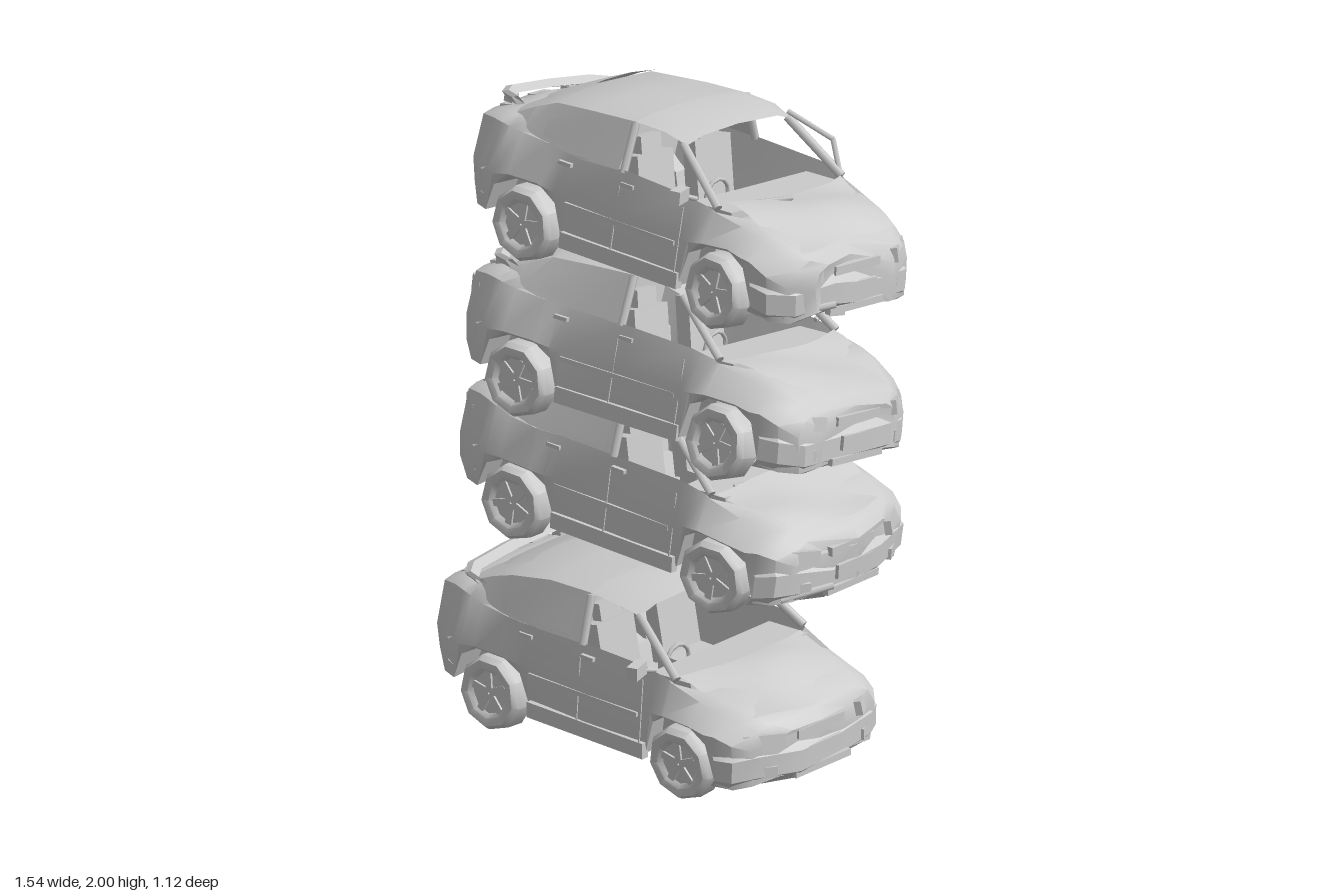
import * as THREE from 'three';
import { toCreasedNormals } from 'three/addons/utils/BufferGeometryUtils.js';

const metal = new THREE.MeshStandardMaterial({ color: 0xcccccc, side: THREE.DoubleSide });
const V = (x, y, z) => new THREE.Vector3(x, y, z);

function add(parent, name, geometry, x = 0, y = 0, z = 0, rx = 0, ry = 0, rz = 0) {
  const mesh = new THREE.Mesh(geometry, metal);
  mesh.name = name;
  mesh.position.set(x, y, z);
  mesh.rotation.set(rx, ry, rz);
  parent.add(mesh);
  return mesh;
}
const box = (w, h, d) => new THREE.BoxGeometry(w, h, d);

// Thin rod between two points
function bar(parent, name, a, b, r) {
  const dir = b.clone().sub(a);
  const mesh = add(parent, name, new THREE.CylinderGeometry(r, r, dir.length(), 6));
  mesh.position.copy(a).add(b).multiplyScalar(0.5);
  mesh.quaternion.setFromUnitVectors(V(0, 1, 0), dir.normalize());
}

// Skin through rows of points, bent by a dent rule
function skin(rows, dent = p => p, crease = 0.6) {
  const pos = [], idx = [], n = rows[0].length;
  rows.flat().forEach(p => pos.push(...dent(p)));
  for (let i = 0; i < rows.length - 1; i++) for (let j = 0; j < n - 1; j++) {
    const a = i * n + j, b = a + n;
    idx.push(a, b, b + 1, a, b + 1, a + 1);
  }
  const g = new THREE.BufferGeometry();
  g.setAttribute('position', new THREE.Float32BufferAttribute(pos, 3));
  g.setIndex(idx);
  return toCreasedNormals(g, crease);
}
// Half section from the +z side to the centre line, completed by mirroring
const mirrored = half => half.concat(half.slice(0, -1).reverse().map(([x, y, z]) => [x, y, -z]));

// x, half width, floor, arch edge, shoulder height, shoulder half width, deck height
const STATIONS = [
  [-0.672, 0.20, 0.21, 0.21, 0.35, 0.18, 0.365], [-0.65, 0.26, 0.17, 0.17, 0.38, 0.23, 0.39],
  [-0.58, 0.315, 0.13, 0.13, 0.395, 0.265, 0.415], [-0.535, 0.325, 0.12, 0.125, 0.395, 0.28, 0.42],
  [-0.50, 0.335, 0.11, 0.215, 0.39, 0.285, 0.42], [-0.44, 0.337, 0.10, 0.25, 0.385, 0.295, 0.42],
  [-0.33, 0.337, 0.09, 0.25, 0.38, 0.30, 0.40], [-0.32, 0.337, 0.09, 0.248, 0.38, 0.30, 0.18],
  [-0.27, 0.33, 0.09, 0.215, 0.378, 0.30, 0.16], [-0.235, 0.32, 0.09, 0.10, 0.378, 0.30, 0.16],
  [0, 0.322, 0.09, 0.095, 0.383, 0.30, 0.16], [0.235, 0.322, 0.09, 0.10, 0.376, 0.295, 0.16],
  [0.27, 0.33, 0.09, 0.215, 0.37, 0.295, 0.16], [0.32, 0.337, 0.09, 0.248, 0.36, 0.29, 0.18],
  [0.33, 0.337, 0.09, 0.25, 0.352, 0.29, 0.32], [0.44, 0.337, 0.09, 0.25, 0.325, 0.28, 0.343],
  [0.50, 0.335, 0.09, 0.215, 0.31, 0.275, 0.33], [0.535, 0.328, 0.08, 0.09, 0.30, 0.268, 0.318],
  [0.59, 0.305, 0.08, 0.08, 0.275, 0.255, 0.295], [0.635, 0.262, 0.085, 0.085, 0.25, 0.23, 0.268],
  [0.658, 0.18, 0.10, 0.10, 0.225, 0.17, 0.24],
];

function bodyRows() {
  const rows = STATIONS.map(([x, w, floor, arch, shY, shW, deck]) => {
    const inner = Math.min(0.22, w - 0.02);
    const mid = Math.max(arch + 0.01, Math.min(0.25, shY - 0.05));
    return mirrored([[x, floor, 0], [x, floor, inner], [x, arch, inner], [x, arch, w - 0.012],
      [x, mid, w], [x, shY, shW], [x, deck, shW - 0.04], [x, deck + 0.008, 0]]);
  });
  const cap = r => r.map(([x]) => [x, 0.23, 0]);
  return [cap(rows[0]), ...rows, cap(rows[rows.length - 1])];
}

// x, belt half width, belt height, rail half width, rail height, crown height
const CABIN = [
  [-0.57, 0.235, 0.395, 0.20, 0.405, 0.415], [-0.45, 0.285, 0.385, 0.235, 0.455, 0.478],
  [-0.36, 0.298, 0.38, 0.243, 0.492, 0.517], [-0.20, 0.30, 0.376, 0.25, 0.517, 0.54],
  [-0.04, 0.302, 0.38, 0.25, 0.524, 0.547],
];
const ROOF = [[-0.04, 0.25, 0.524, 0.547], [0.07, 0.247, 0.52, 0.545], [0.15, 0.235, 0.50, 0.525]];

function wheel(parent, name, x, side, seed) {
  const g = new THREE.Group();
  g.name = name;
  const profile = [[0.066, 0.034], [0.08, 0.048], [0.105, 0.05], [0.118, 0.03], [0.118, -0.03],
    [0.105, -0.05], [0.05, -0.05]].map(p => new THREE.Vector2(...p));
  add(g, 'tyre', toCreasedNormals(new THREE.LatheGeometry(profile, 9), 0.75), 0, 0, 0, Math.PI / 2);
  add(g, 'rim', new THREE.CylinderGeometry(0.078, 0.07, 0.066, 9), 0, 0, 0, Math.PI / 2);
  for (let i = 0; i < 5; i++) {
    const a = i * Math.PI * 0.4 + seed;
    add(g, 'spoke', box(0.066, 0.024, 0.02), 0.036 * Math.cos(a), 0.036 * Math.sin(a), 0.03, 0, 0, a);
  }
  g.position.set(x, 0.12, side * 0.29);
  g.rotation.set(0.06 * Math.sin(seed * 3 + x), (side < 0 ? Math.PI : 0) + (x > 0 ? 0.1 * Math.sin(seed) : 0), 0);
  parent.add(g);
}

function car({ name, seed, mirrorSide, crumple, bentWing, openDoor, pos, rot }) {
  const car = new THREE.Group();
  car.name = name;
  // Dents grow toward the nose
  const dent = ([x, y, z]) => {
    const k = 0.005 + (x > 0.3 ? crumple * (x - 0.3) * 0.7 : 0);
    return [x + k * Math.sin(17 * z + seed), y + k * Math.sin(15 * x + seed * 2) * Math.cos(13 * z + seed),
      z + k * Math.sin(11 * x + 9 * y + seed)];
  };
  add(car, 'body', skin(bodyRows(), dent));
  add(car, 'rear cabin', skin(CABIN.map(([x, bw, by, rw, ry, top]) =>
    mirrored([[x, by, bw], [x, ry, rw], [x, top - 0.004, rw * 0.72], [x, top, 0]])), dent));
  add(car, 'roof', skin(ROOF.map(([x, rw, ry, top]) =>
    mirrored([[x, ry, rw], [x, top - 0.004, rw * 0.72], [x, top, 0]])), dent));
  add(car, 'rear screen', skin([[-0.525, 0.15, 0.442], [-0.45, 0.19, 0.482], [-0.375, 0.18, 0.514]].map(([x, w, y]) =>
    [[x + 0.03, y + 0.008, w], [x, y + 0.003, w * 0.6], [x - 0.01, y + 0.001, 0],
      [x, y + 0.003, -w * 0.6], [x + 0.03, y + 0.008, -w]]), dent));

  for (const s of [1, -1]) {
    // Window frames, quarter window and door furniture
    bar(car, 'windscreen pillar', V(0.14, 0.502, s * 0.235), V(0.335, 0.362, s * 0.28), 0.014);
    bar(car, 'door pillar', V(-0.04, 0.52, s * 0.25), V(-0.03, 0.375, s * 0.298), 0.013);
    add(car, 'quarter window', skin([[-0.36, 0.395, 0.297, 0.445, 0.275], [-0.22, 0.39, 0.30, 0.495, 0.262],
      [-0.07, 0.395, 0.30, 0.505, 0.26]].map(([x, y0, z0, y1, z1]) => [[x, y0, s * z0], [x, y1, s * z1]]), dent));
    for (const x of [-0.25, 0.0]) add(car, 'door handle', box(0.05, 0.012, 0.014), x, 0.345, s * 0.309);
    for (const x of [-0.03, 0.225]) add(car, 'door seam', box(0.004, 0.2, 0.004), x, 0.24, s * 0.32, -s * 0.08);
    add(car, 'side skirt', box(0.47, 0.05, 0.026), 0, 0.112, s * 0.312);
    add(car, 'rubbing strip', box(0.44, 0.014, 0.01), -0.01, 0.225, s * 0.32);
    // Lamps, turned to follow the corners
    add(car, 'headlamp', box(0.022, 0.045, 0.13), 0.63, 0.225, s * 0.215, 0, -s * 0.6, 0.2);
    add(car, 'fog lamp', box(0.02, 0.035, 0.07), 0.638, 0.13, s * 0.215, 0, -s * 0.5);
    add(car, 'tail lamp', box(0.022, 0.055, 0.11), -0.637, 0.325, s * 0.218, 0, s * 0.85);
    add(car, 'boot light', box(0.05, 0.012, 0.075), -0.615, 0.403, s * 0.14, 0, s * 0.2, 0.2);
    // Wheels and front seats
    wheel(car, 'front wheel', 0.385, s, seed);
    wheel(car, 'rear wheel', -0.385, s, seed + 1.3);
    add(car, 'seat cushion', box(0.15, 0.06, 0.16), 0.03, 0.2, s * 0.13);
    add(car, 'seat back', box(0.05, 0.2, 0.16), -0.06, 0.3, s * 0.13, 0, 0, 0.2);
    add(car, 'headrest', box(0.035, 0.06, 0.09), -0.09, 0.42, s * 0.13, 0, 0, 0.2);
  }
  add(car, 'boot light', box(0.05, 0.012, 0.075), -0.625, 0.403, 0, 0, 0, 0.2);
  add(car, 'dashboard', box(0.16, 0.09, 0.52), 0.295, 0.305, 0, 0, 0, 0.05);
  add(car, 'steering wheel', new THREE.TorusGeometry(0.05, 0.007, 5, 12), 0.2, 0.34, 0.13, 0, Math.PI / 2, 0);

  // Bumpers, grille and plates
  const bumper = (sx, y, h, spread) => add(car, sx > 0 ? 'front bumper' : 'rear bumper', skin(
    [[0.54, 0.328], [0.60, 0.29 + spread], [0.647, 0.22 + spread], [0.672, 0.1], [0.672, -0.1],
      [0.647, -0.22 - spread], [0.60, -0.29 - spread], [0.54, -0.328]]
      .map(([x, z]) => [[sx * (x - 0.03), y - h, z * 0.95], [sx * x, y - h * 0.5, z], [sx * x, y + h * 0.6, z],
        [sx * (x - 0.025), y + h, z * 0.95]]), dent, 0.5));
  bumper(1, 0.14, 0.06, 0.02);
  bumper(-1, 0.215, 0.06, 0).position.x = -0.008;
  add(car, 'grille', box(0.02, 0.028, 0.2), 0.656, 0.222, 0);
  add(car, 'number plate', box(0.012, 0.045, 0.16), 0.672, 0.155, 0);
  add(car, 'lower intake', box(0.02, 0.022, 0.24), 0.664, 0.1, 0);
  add(car, 'rear plate', box(0.012, 0.045, 0.15), -0.678, 0.25, 0);

  // Buckled bonnet sheet, its rear edge curving forward at the centre
  const hood = [];
  for (let i = 0; i <= 6; i++) {
    const t = i / 6, row = [];
    for (let j = 0; j <= 8; j++) {
      const u = 1 - j / 4, x = 0.34 + t * 0.26 + (0.05 - 0.02 * t) * (1 - u * u);
      row.push([x, 0.367 - 0.04 * t - 0.04 * t * t - 0.012 * u * u
        + crumple * 0.6 * (Math.sin(t * 5 + u * 2 + seed) * 0.5 + 0.5), (0.26 - 0.04 * t) * u]);
    }
    hood.push(row);
  }
  add(car, 'bonnet', skin(hood, dent, 0.4));
  // Loose strips of torn trim around the screen
  if (crumple > 0.04) {
    bar(car, 'bent strip', V(0.14, 0.52, -0.235), V(0.28, 0.46, -0.29), 0.009);
    bar(car, 'bent strip', V(0.28, 0.46, -0.29), V(0.33, 0.36, -0.28), 0.009);
    bar(car, 'wiper', V(0.34, 0.36, 0.18), V(0.42, 0.375, 0.04), 0.007);
    bar(car, 'torn bumper trim', V(0.61, 0.1, 0.27), V(0.69, 0.13, 0.12), 0.012);
  }

  // Rear wing with swept ends, sitting low on the boot lid
  const wing = new THREE.Group();
  wing.name = 'rear wing';
  add(wing, 'wing blade', skin([[0.25, 0.11], [0.23, 0.05], [0.17, 0.01], [0, 0], [-0.17, 0.01], [-0.23, 0.05], [-0.25, 0.11]]
    .map(([z, dx]) => [[dx - 0.025, 0.005, z], [dx, 0.016, z], [dx + 0.03, 0, z], [dx, -0.012, z], [dx - 0.025, 0.005, z]])));
  for (const s of [1, -1]) add(wing, 'wing foot', box(0.035, 0.03, 0.025), 0.03, -0.015, s * 0.19);
  wing.position.set(-0.605, 0.425 + Math.abs(bentWing) * 0.2, 0);
  wing.rotation.set(bentWing, bentWing * 0.5, 0);
  car.add(wing);

  // Door mirror
  bar(car, 'mirror stalk', V(0.25, 0.37, mirrorSide * 0.285), V(0.25, 0.39, mirrorSide * 0.345), 0.008);
  add(car, 'door mirror', box(0.035, 0.042, 0.07), 0.25, 0.395, mirrorSide * 0.365, 0, mirrorSide * 0.3);

  // Torn rear door skin, hanging open
  if (openDoor) {
    add(car, 'torn door', skin([[0.0, 0.02], [-0.1, 0.08], [-0.2, 0.125]].map(([x, out], i) =>
      [[x, 0.23, -0.32 - out * 0.3], [x, 0.36, -0.32 - out], [x, 0.46 + 0.02 * i, -0.28 - out * 0.6]])));
    bar(car, 'door frame', V(-0.2, 0.5, -0.355), V(-0.2, 0.36, -0.445), 0.008);
  }
  car.position.set(...pos);
  car.rotation.set(...rot, 'YXZ');
  return car;
}

export function createModel() {
  const model = new THREE.Group();
  model.name = 'stack of wrecked cars';
  model.add(
    car({ name: 'bottom car', seed: 0.4, mirrorSide: 1, crumple: 0.025, bentWing: 0.04, openDoor: true,
      pos: [0.082, 0, 0.16], rot: [0, 0, 0] }),
    car({ name: 'second car', seed: 2.1, mirrorSide: -1, crumple: 0.05, bentWing: 0.03,
      pos: [-0.095, 0.465, -0.118], rot: [-0.04, 0.06, -0.04] }),
    car({ name: 'third car', seed: 3.7, mirrorSide: -1, crumple: 0.02, bentWing: -0.03,
      pos: [0.07, 0.945, 0.055], rot: [-0.16, 0.065, 0] }),
    car({ name: 'top car', seed: 5.2, mirrorSide: 1, crumple: 0.05, bentWing: -0.08,
      pos: [0.06, 1.435, 0.012], rot: [-0.13, 0.015, 0] }),
  );
  return model;
}
